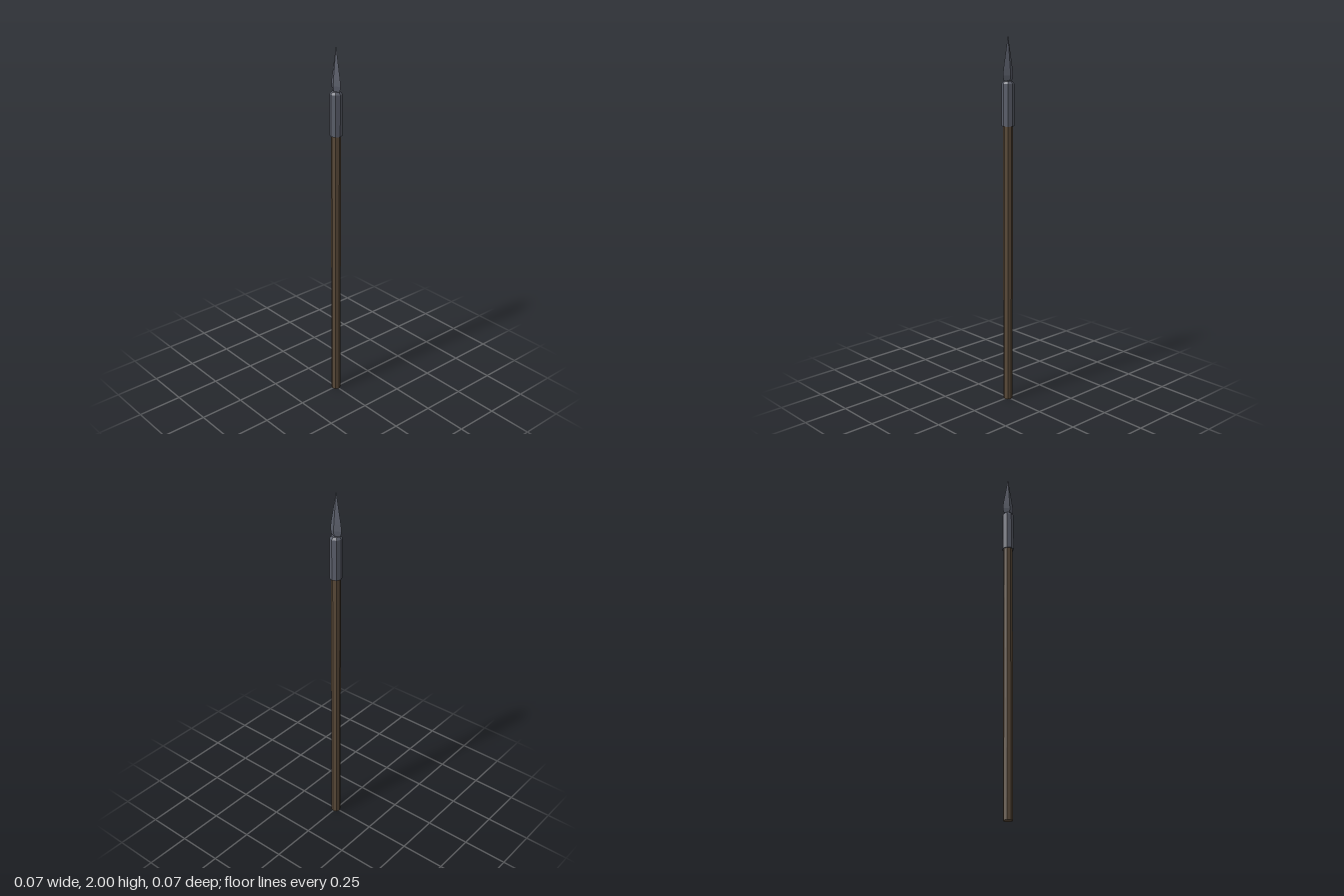
import * as THREE from 'three';

// Faceted turned part from [radius, height] pairs, listed bottom to top
function turned(name, profile, sides, material, depth = 1) {
  const points = profile.map(([r, y]) => new THREE.Vector2(r, y));
  const geometry = new THREE.LatheGeometry(points, sides).scale(1, 1, depth).toNonIndexed();
  geometry.computeVertexNormals();
  const mesh = new THREE.Mesh(geometry, material);
  mesh.name = name;
  return mesh;
}

export function createModel() {
  const wood = new THREE.MeshStandardMaterial({ color: 0x5a4a39 });
  wood.name = 'dark wood';
  const steel = new THREE.MeshStandardMaterial({ color: 0x5a5e6a });
  steel.name = 'grey steel';

  const spear = new THREE.Group();
  spear.name = 'spear';
  spear.add(
    // Long wooden pole
    turned('shaft', [[0, 0], [0.026, 0], [0.026, 1.6], [0, 1.6]], 8, wood),
    // Eight-sided collar with a bevelled top
    turned('socket', [[0, 1.533], [0.033, 1.533], [0.033, 1.753], [0.024, 1.766], [0, 1.766]], 8, steel),
    // Diamond-section point, flattened front to back
    turned('blade', [[0, 1.76], [0.024, 1.764], [0.031, 1.772], [0.036, 1.796], [0.032, 1.83], [0, 2]], 4, steel, 0.53)
  );
  return spear;
}
